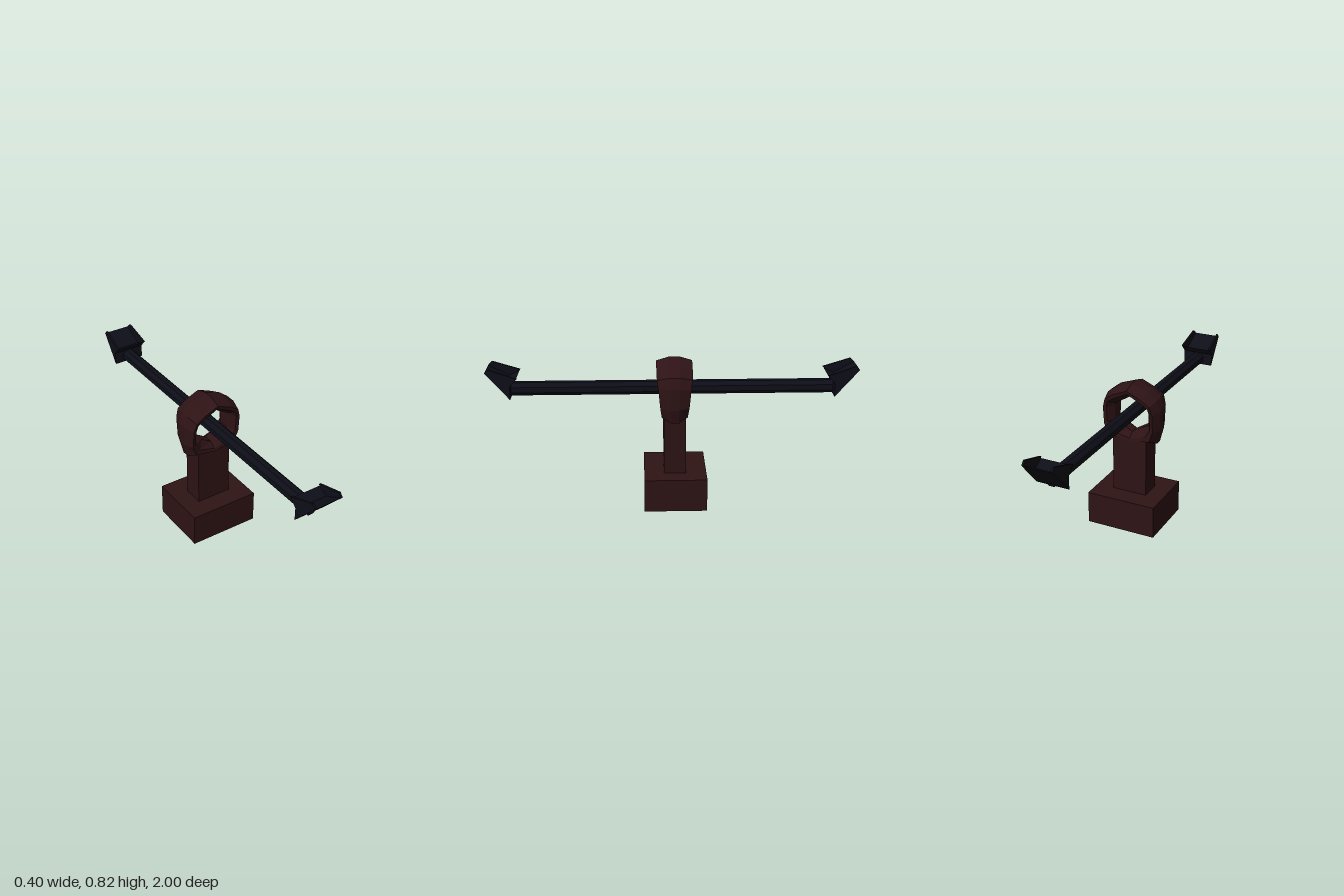
import * as THREE from 'three';

const wood = new THREE.MeshStandardMaterial({ color: 0x2e1315, flatShading: true });
const iron = new THREE.MeshStandardMaterial({ color: 0x0e0e18, flatShading: true });

function add(parent, name, geometry, material, x = 0, y = 0, z = 0) {
  const mesh = new THREE.Mesh(geometry, material);
  mesh.name = name;
  mesh.position.set(x, y, z);
  parent.add(mesh);
  return mesh;
}

// Faceted ring lofted through sections: outer x, y, inner x, y, half depth
function ringGeometry() {
  const half = [
    [0, 0.825, 0, 0.755, 0.097],
    [0.095, 0.79, 0.065, 0.715, 0.097],
    [0.145, 0.75, 0.1, 0.695, 0.095],
    [0.165, 0.69, 0.1, 0.675, 0.088],
    [0.165, 0.575, 0.1, 0.6, 0.078],
    [0.145, 0.495, 0.06, 0.576, 0.07],
    [0, 0.477, 0, 0.54, 0.066],
  ];
  const left = half.slice(1, -1).reverse().map(([a, b, c, d, e]) => [-a, b, -c, d, e]);
  const stations = [...half, ...left];
  // Cross-section: blend from outer to inner, depth factor
  const section = [[0, 0.3], [0.3, 1], [0.58, 0.95], [1, 0.4], [1, -0.4], [0.58, -0.95], [0.3, -1], [0, -0.3]];
  const points = [], index = [];
  const n = stations.length, m = section.length;
  stations.forEach(([ox, oy, ix, iy, d], i) => {
    section.forEach(([t, k], j) => {
      points.push(ox + (ix - ox) * t, oy + (iy - oy) * t, k * d - 0.008);
      const a = i * m + j, b = i * m + (j + 1) % m;
      const c = ((i + 1) % n) * m + j, e = ((i + 1) % n) * m + (j + 1) % m;
      index.push(a, b, c, b, e, c);
    });
  });
  const g = new THREE.BufferGeometry();
  g.setAttribute('position', new THREE.Float32BufferAttribute(points, 3));
  g.setIndex(index);
  g.computeVertexNormals();
  return g;
}

// Side profile (z, y) extruded across x, a little narrower toward the tip
function profileGeometry(profile, x0, x1) {
  const shape = new THREE.Shape(profile.map(([z, y]) => new THREE.Vector2(z, y)));
  const g = new THREE.ExtrudeGeometry(shape, { depth: x1 - x0, bevelEnabled: false });
  g.rotateY(-Math.PI / 2);
  g.translate(x1, 0, 0);
  const p = g.attributes.position;
  for (let i = 0; i < p.count; i++) {
    p.setX(i, p.getX(i) * (1 - 0.65 * (p.getZ(i) - 0.83)));
  }
  g.computeVertexNormals();
  return g;
}

// Upturned hooked end with a V-shaped tray between two side cheeks
function hookedEnd(name) {
  const end = new THREE.Group();
  end.name = name;
  const core = [[0.87, 0.618], [1, 0.765], [0.89, 0.703], [0.835, 0.728], [0.87, 0.69]];
  const cheek = [[0.87, 0.618], [1, 0.765], [0.98, 0.785], [0.83, 0.735], [0.87, 0.69]];
  add(end, 'hookTray', profileGeometry(core, -0.08, 0.08), iron);
  add(end, 'hookCheekLeft', profileGeometry(cheek, 0.08, 0.092), iron);
  add(end, 'hookCheekRight', profileGeometry(cheek, -0.092, -0.08), iron);
  return end;
}

export function createModel() {
  const model = new THREE.Group();
  model.name = 'pivotStand';

  // Stand
  add(model, 'base', new THREE.BoxGeometry(0.4, 0.185, 0.343), wood, 0, 0.0925, -0.012);
  add(model, 'post', new THREE.BoxGeometry(0.2, 0.345, 0.12), wood, 0, 0.3425, -0.01);
  add(model, 'ring', ringGeometry(), wood);

  // Bar through the ring
  const r = 0.036 / Math.cos(Math.PI / 8);
  const bar = new THREE.CylinderGeometry(r, r, 1.76, 8);
  bar.rotateY(Math.PI / 8);
  bar.rotateX(Math.PI / 2);
  add(model, 'bar', bar, iron, 0, 0.654, 0);

  // Hooked ends
  model.add(hookedEnd('frontHook'));
  const back = hookedEnd('backHook');
  back.rotation.y = Math.PI;
  model.add(back);

  return model;
}
